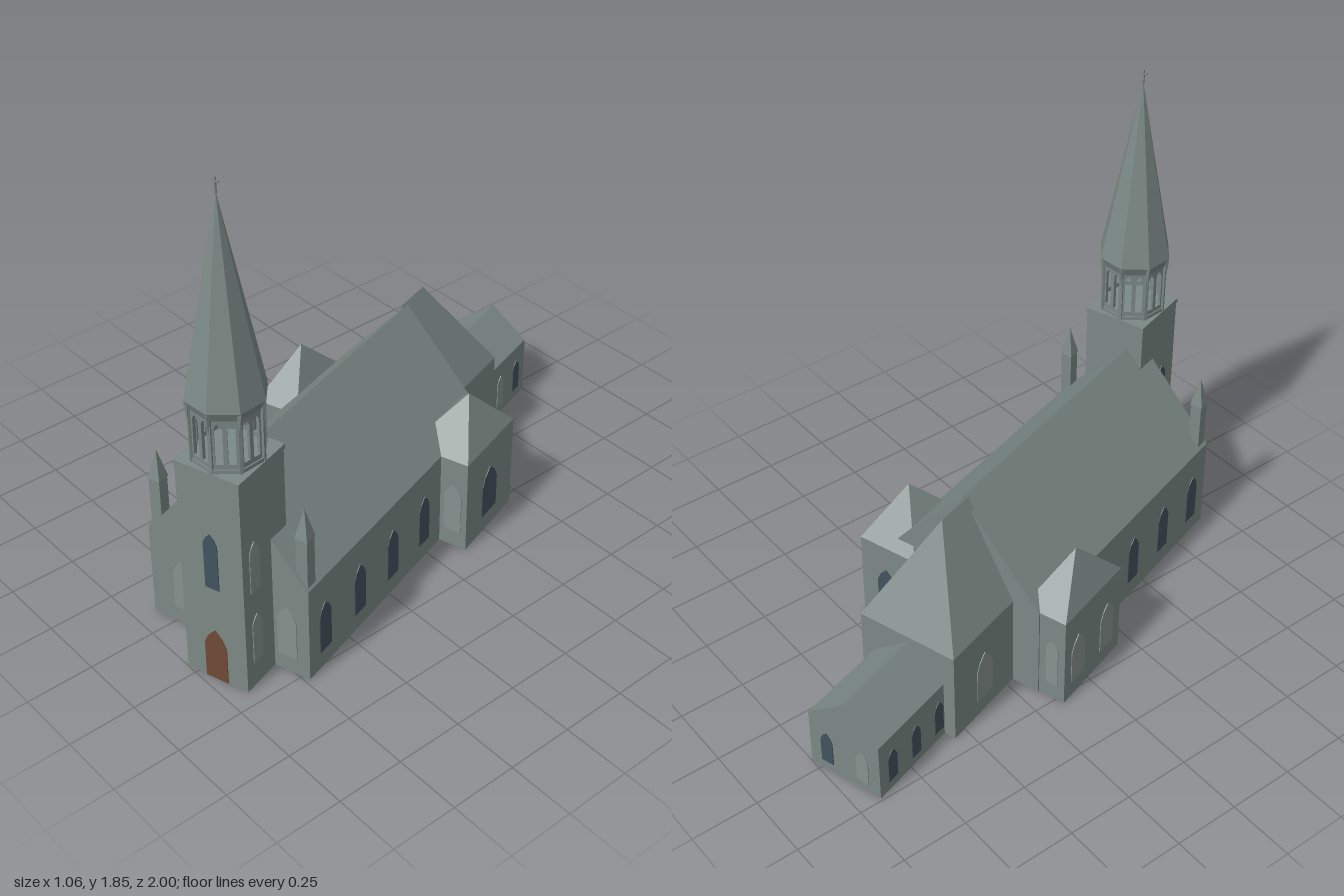
import * as THREE from 'three';
import { ConvexGeometry } from 'three/addons/geometries/ConvexGeometry.js';

export function createModel() {
  const mat = (name, color, extra = {}) => {
    const m = new THREE.MeshStandardMaterial({ color, ...extra });
    m.name = name;
    return m;
  };
  const stone = mat('stone', 0x7c8986, { flatShading: true });
  const glass = mat('dark glass', 0x41535d);
  const pale = mat('pale glass', 0x86928f);
  const wood = mat('door wood', 0x724935);

  const root = new THREE.Group();
  root.name = 'church';
  // The whole building stands turned on its plot
  const body = new THREE.Group();
  body.name = 'building';
  body.rotation.y = 0.2985;
  body.position.z = 0.005;
  root.add(body);

  const add = (name, geo, material, x = 0, y = 0, z = 0, ry = 0) => {
    const m = new THREE.Mesh(geo, material);
    m.name = name;
    m.position.set(x, y, z);
    m.rotation.y = ry;
    body.add(m);
    return m;
  };
  const box = (name, x0, x1, y0, y1, z0, z1) =>
    add(name, new THREE.BoxGeometry(x1 - x0, y1 - y0, z1 - z0), stone,
      (x0 + x1) / 2, (y0 + y1) / 2, (z0 + z1) / 2);

  // Walled block under a roof whose ridge runs from z = r0 to r1
  const house = (name, x0, x1, z0, z1, eave, top, r0, r1, rx = (x0 + x1) / 2) => {
    const pts = [];
    for (const x of [x0, x1]) for (const z of [z0, z1]) for (const y of [0, eave])
      pts.push(new THREE.Vector3(x, y, z));
    pts.push(new THREE.Vector3(rx, top, r0));
    if (r0 !== r1) pts.push(new THREE.Vector3(rx, top, r1));
    add(name, new ConvexGeometry(pts), stone);
  };
  house('nave', -0.356, 0.292, -0.307, 0.851, 0.38, 0.75, -0.307, 0.851);
  house('chancel', -0.246, 0.152, -0.658, -0.29, 0.38, 0.75, -0.441, -0.29);
  house('sacristy', -0.2, 0.098, -1.02, -0.64, 0.24, 0.357, -1.02, -0.64);
  house('leftTransept', -0.463, -0.285, -0.302, 0.057, 0.38, 0.56, -0.12, -0.12, -0.38);
  house('rightTransept', 0.157, 0.402, -0.342, -0.005, 0.38, 0.56, -0.172, -0.172, 0.306);

  // Tower
  const tx = 0.028, tz = 0.886;
  box('tower', tx - 0.123, tx + 0.123, 0, 0.86, tz - 0.123, tz + 0.123);
  box('towerCornice', tx - 0.126, tx + 0.126, 0.85, 0.868, tz - 0.126, tz + 0.126);

  // Pointed outline shared by windows, door and belfry openings
  const lancet = (Path, cx, w, y0, y1) => {
    const p = new Path(), h = w / 2, rise = Math.min(w * 0.75, (y1 - y0) * 0.35);
    p.moveTo(cx - h, y0);
    p.lineTo(cx + h, y0);
    p.lineTo(cx + h, y1 - rise);
    p.lineTo(cx + h * 0.62, y1 - rise * 0.45);
    p.lineTo(cx, y1);
    p.lineTo(cx - h * 0.62, y1 - rise * 0.45);
    p.lineTo(cx - h, y1 - rise);
    p.closePath();
    return p;
  };

  // Octagonal open belfry
  const turn = 0.17, R = 0.121, side = 2 * R * Math.sin(Math.PI / 8), inR = R * Math.cos(Math.PI / 8);
  for (let i = 0; i < 8; i++) {
    const a = turn + (i + 0.5) * Math.PI / 4, c = turn + i * Math.PI / 4;
    const wall = new THREE.Shape();
    wall.moveTo(-side / 2, 0.866);
    wall.lineTo(side / 2, 0.866);
    wall.lineTo(side / 2, 1.1);
    wall.lineTo(-side / 2, 1.1);
    wall.closePath();
    for (const s of [-1, 1]) wall.holes.push(lancet(THREE.Path, s * side * 0.22, 0.026, 0.9, 1.055));
    add('belfryWall', new THREE.ExtrudeGeometry(wall, { depth: 0.012, bevelEnabled: false }), stone,
      tx + Math.sin(a) * (inR - 0.012), 0, tz + Math.cos(a) * (inR - 0.012), a);
    add('belfryPillar', new THREE.BoxGeometry(0.012, 0.21, 0.012), stone,
      tx + Math.sin(c) * R, 0.97, tz + Math.cos(c) * R, c);
    add('collarDrop', new THREE.ConeGeometry(0.01, 0.08, 4).rotateX(Math.PI), stone,
      tx + Math.sin(c) * 0.128, 1.055, tz + Math.cos(c) * 0.128, c);
  }
  add('belfryBase', new THREE.CylinderGeometry(0.126, 0.126, 0.014, 8), stone, tx, 0.875, tz, turn);
  add('spireCollar', new THREE.CylinderGeometry(0.137, 0.122, 0.035, 8), stone, tx, 1.0825, tz, turn);
  add('spire', new THREE.ConeGeometry(0.137, 0.7, 8), stone, tx, 1.45, tz, turn);
  add('crossPost', new THREE.BoxGeometry(0.006, 0.055, 0.006), stone, tx, 1.818, tz);
  add('crossArm', new THREE.BoxGeometry(0.026, 0.006, 0.006), stone, tx, 1.832, tz);

  // Corner pinnacles of the front gable
  for (const px of [-0.325, 0.263]) {
    box('pinnacle', px - 0.022, px + 0.022, 0.3, 0.582, 0.798, 0.842);
    add('pinnacleSpire', new THREE.ConeGeometry(0.035, 0.115, 4), stone, px, 0.6375, 0.82, Math.PI / 4);
  }

  // Windows: thin pointed plates on the walls
  const F = 0, E = Math.PI / 2, B = Math.PI, W = -Math.PI / 2;
  const pane = (name, material, dir, x, z, w, y0, y1) =>
    add(name, new THREE.ExtrudeGeometry(lancet(THREE.Shape, 0, w, y0, y1), { depth: 0.005, bevelEnabled: false }),
      material, x - Math.sin(dir) * 0.002, 0, z - Math.cos(dir) * 0.002, dir);

  for (const z of [0.11, 0.325, 0.54, 0.755]) {
    pane('naveWindow', glass, E, 0.292, z, 0.068, 0.07, 0.275);
    pane('naveWindow', glass, W, -0.356, z, 0.068, 0.07, 0.275);
  }
  for (const x of [-0.225, 0.205]) pane('frontWindow', pale, F, x, 0.851, 0.075, 0.065, 0.28);

  pane('door', wood, F, tx, tz + 0.123, 0.088, 0.001, 0.215);
  pane('towerWindow', glass, F, tx, tz + 0.123, 0.055, 0.395, 0.62);
  for (const [y0, y1] of [[0.1, 0.3], [0.4, 0.6]]) {
    pane('towerWindow', pale, E, tx + 0.123, 0.945, 0.052, y0, y1);
    pane('towerWindow', glass, W, tx - 0.123, 0.925, 0.052, y0, y1);
  }

  pane('transeptWindow', glass, E, 0.402, -0.172, 0.105, 0.07, 0.275);
  pane('transeptWindow', pale, F, 0.345, -0.005, 0.07, 0.07, 0.275);
  pane('transeptWindow', glass, B, 0.29, -0.342, 0.08, 0.07, 0.275);
  for (const z of [-0.217, -0.03]) pane('transeptWindow', pale, W, -0.463, z, 0.085, 0.07, 0.275);
  pane('transeptWindow', pale, F, -0.41, 0.057, 0.045, 0.07, 0.275);
  pane('transeptWindow', pale, B, -0.41, -0.302, 0.05, 0.07, 0.275);

  pane('chancelWindow', glass, E, 0.152, -0.48, 0.09, 0.07, 0.275);
  pane('chancelWindow', pale, W, -0.246, -0.48, 0.09, 0.07, 0.275);

  [-0.69, -0.82, -0.95].forEach((z, i) => {
    pane('sacristyWindow', i === 2 ? glass : pale, E, 0.098, z, 0.048, 0.04, 0.18);
    pane('sacristyWindow', glass, W, -0.2, z, 0.048, 0.04, 0.18);
  });
  pane('sacristyWindow', glass, B, 0.025, -1.02, 0.05, 0.04, 0.18);
  pane('sacristyWindow', pale, B, -0.127, -1.02, 0.05, 0.04, 0.18);

  return root;
}
